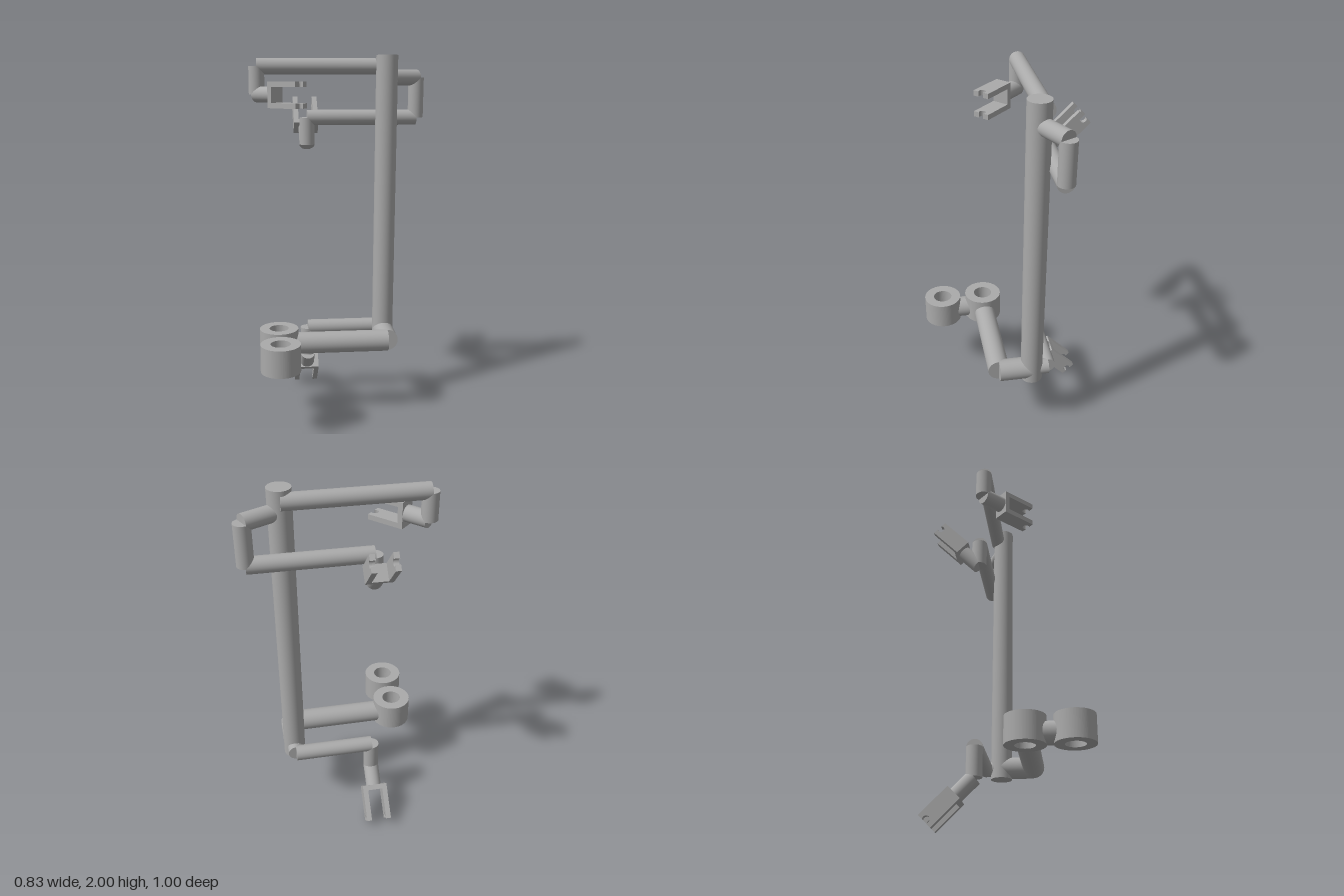
import * as THREE from 'three';

const grey = new THREE.MeshStandardMaterial({ color: 0xaaaaaa });
grey.name = 'plain grey';

const THIN = 0.043, THICK = 0.06;
const vec = (p) => new THREE.Vector3(...p);

function add(parent, name, geometry) {
  const mesh = new THREE.Mesh(geometry, grey);
  mesh.name = name;
  parent.add(mesh);
  return mesh;
}

// Solid round bar between two points
function rod(parent, name, from, to, radius) {
  const a = vec(from), b = vec(to), dir = b.clone().sub(a);
  const mesh = add(parent, name, new THREE.CylinderGeometry(radius, radius, dir.length(), 48));
  mesh.position.copy(a).add(b).multiplyScalar(0.5);
  mesh.quaternion.setFromUnitVectors(new THREE.Vector3(0, 1, 0), dir.normalize());
}

// Bars through a list of joints, each one square-ended at the joint
function linkage(parent, names, points, radius) {
  names.forEach((name, i) => rod(parent, name, points[i], points[i + 1], radius));
}

// Wrist bar with a two-finger gripper; side is the axis the fingers open along
function gripper(parent, name, joint, direction, side) {
  const WRIST = 0.124, LENGTH = 0.2, WIDTH = 0.09, SPAN = 0.14, T = 0.028;
  const g = new THREE.Group();
  g.name = name;
  const y = vec(direction).normalize(), x = vec(side).normalize();
  const z = x.clone().cross(y);
  g.quaternion.setFromRotationMatrix(new THREE.Matrix4().makeBasis(x, y, z));
  g.position.copy(vec(joint));
  parent.add(g);

  rod(g, 'wrist', [0, 0, 0], [0, WRIST + 0.005, 0], THIN);
  add(g, 'gripperBase', new THREE.BoxGeometry(SPAN - 2 * T, T, WIDTH)).position.y = WRIST + T / 2;

  // Finger outline with a round notch open at the tip
  const r = 0.019, inset = 0.013, tip = WRIST + LENGTH, w = WIDTH / 2;
  const a = Math.asin(inset / r), open = r * Math.cos(a);
  const outline = new THREE.Shape();
  outline.moveTo(-w, WRIST);
  outline.lineTo(w, WRIST);
  outline.lineTo(w, tip);
  outline.lineTo(open, tip);
  outline.absarc(0, tip - inset, r, a, Math.PI - a, true);
  outline.lineTo(-w, tip);
  outline.closePath();
  const finger = new THREE.ExtrudeGeometry(outline, { depth: T, bevelEnabled: false, curveSegments: 20 });
  finger.rotateY(Math.PI / 2);
  add(g, 'fingerA', finger).position.x = -SPAN / 2;
  add(g, 'fingerB', finger).position.x = SPAN / 2 - T;
}

// Upright collar with a round through hole
function collar(parent, name, x, z) {
  const R = 0.107, r = 0.053, y0 = 0.365, y1 = 0.515;
  const ring = new THREE.Shape().absarc(0, 0, R, 0, Math.PI * 2);
  ring.holes.push(new THREE.Path().absarc(0, 0, r, 0, Math.PI * 2, true));
  const geo = new THREE.ExtrudeGeometry(ring, { depth: y1 - y0, bevelEnabled: false, curveSegments: 48 });
  geo.rotateX(-Math.PI / 2);
  add(parent, name, geo).position.set(x, y0, z);
}

export function createModel() {
  const model = new THREE.Group();
  model.name = 'armStand';
  const cx = 0.257, cz = -0.287;

  rod(model, 'column', [cx, 0.36, cz], [cx, 2, cz], THICK);

  // Top arm, reaching out and folding back to a level gripper
  linkage(model, ['topArm', 'topDrop'],
    [[0.24, 1.94, -0.317], [-0.378, 1.94, 0.04], [-0.378, 1.79, 0.04]], THIN);
  gripper(model, 'topGripper', [-0.378, 1.79, 0.04], [0.966, 0, 0.259], [0, 1, 0]);

  // Second arm, passing behind the column to a raised gripper
  linkage(model, ['rearLink', 'rearDrop', 'rearForearm', 'rearWristDrop'],
    [[cx, 1.88, cz], [0.37, 1.88, -0.458], [0.37, 1.66, -0.458],
      [-0.165, 1.66, -0.15], [-0.165, 1.51, -0.15]], THIN);
  gripper(model, 'rearGripper', [-0.165, 1.51, -0.15], [-0.354, 0.707, -0.612], [0.866, 0, -0.5]);

  // Low arm with a gripper pointing down and back
  linkage(model, ['lowLink', 'lowArm', 'lowDrop'],
    [[cx, 0.422, cz], [0.211, 0.422, -0.367], [-0.165, 0.422, -0.15], [-0.165, 0.26, -0.15]], THIN);
  gripper(model, 'lowGripper', [-0.165, 0.26, -0.15], [-0.354, -0.707, -0.612], [0.866, 0, -0.5]);

  // Thick arm carrying two open collars
  const y = 0.425;
  linkage(model, ['collarLink', 'collarArm'],
    [[cx, y, cz], [0.347, y, -0.128], [-0.108, y, 0.136]], THICK);
  collar(model, 'innerCollar', -0.183, 0.179);
  rod(model, 'collarBridge', [-0.143, y, 0.248], [-0.1, y, 0.323], THICK);
  collar(model, 'outerCollar', -0.06, 0.393);

  return model;
}
